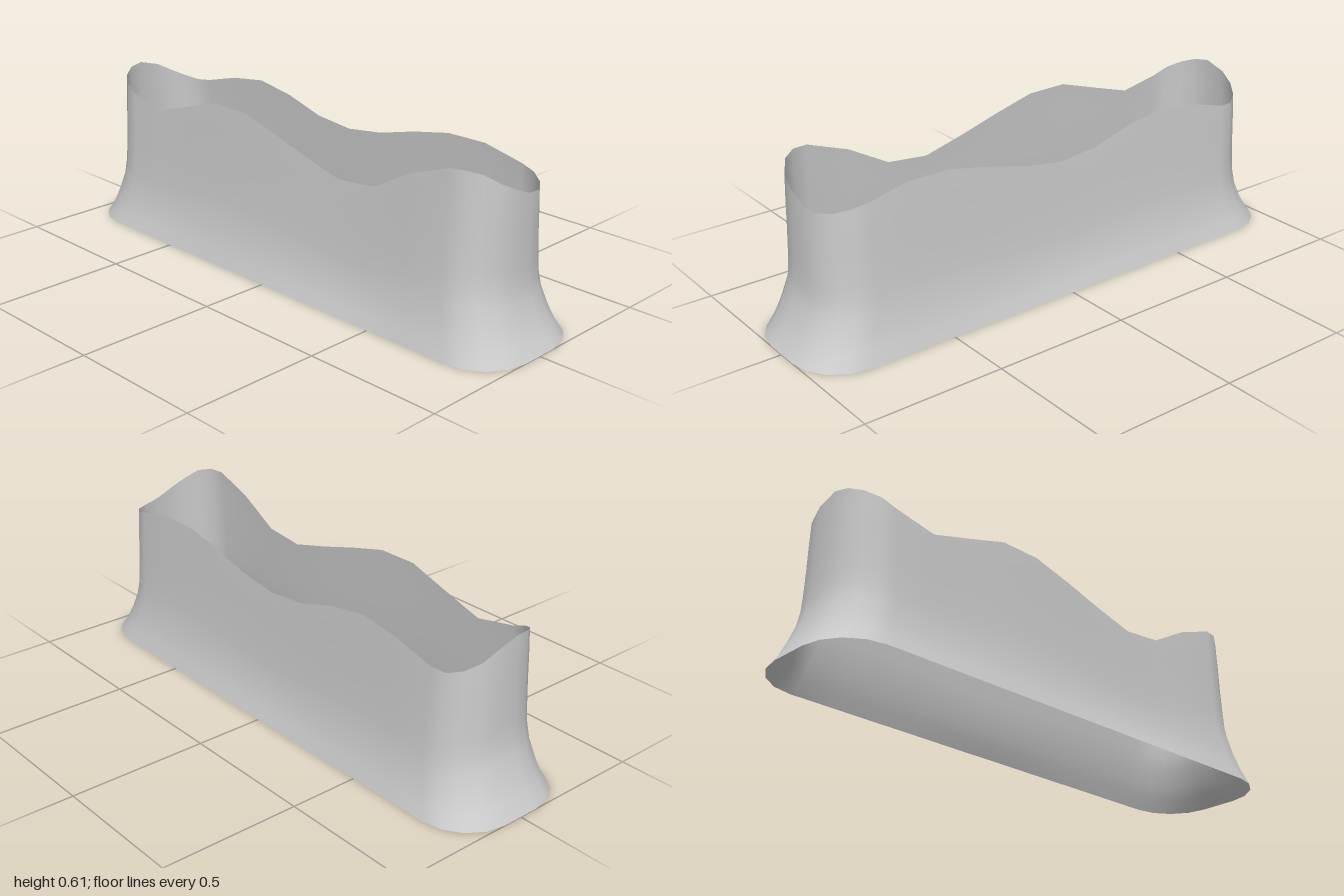
import * as THREE from 'three';

// Rim heights, counter-clockwise: left side, back end, right side, front end
const SIDE_L = [0.53, 0.562, 0.56, 0.53, 0.49, 0.47, 0.485, 0.53, 0.555, 0.535, 0.495];
const BACK = [0.49, 0.505, 0.53, 0.56, 0.571, 0.583, 0.576, 0.56, 0.54];
const SIDE_R = [0.515, 0.485, 0.53, 0.577, 0.575, 0.535, 0.49, 0.45, 0.465, 0.55, 0.605];
const FRONT = [0.608, 0.597, 0.565, 0.538, 0.52, 0.506, 0.5, 0.506, 0.518];
const RIM = [...SIDE_L, ...BACK, ...SIDE_R, ...FRONT];

// Flare profile: [fraction of height, half width, half length]
const PROFILE = [
  [0, 0.25, 1], [0.09, 0.233, 0.968], [0.18, 0.219, 0.946], [0.3, 0.207, 0.921],
  [0.4, 0.201, 0.911], [0.5, 0.197, 0.908], [0.67, 0.191, 0.906], [0.84, 0.187, 0.905], [1, 0.182, 0.903],
];

// Rounded-rectangle ring with the same point order as RIM
function ring(hw, hl) {
  const r = THREE.MathUtils.mapLinear(hw, 0.25, 0.182, 0.18, 0.142);
  const cx = hw - r, cz = hl - r, half = [];
  for (let i = 0; i <= 10; i++) half.push([hw, cz * (1 - i / 5)]);
  for (let k = 1; k <= 4; k++) {
    const a = k * Math.PI / 8;
    half.push([cx + r * Math.cos(a), -cz - r * Math.sin(a)]);
  }
  half.push([0, -hl]);
  for (let k = 4; k >= 1; k--) {
    const a = k * Math.PI / 8;
    half.push([-cx - r * Math.cos(a), -cz - r * Math.sin(a)]);
  }
  return [...half, ...half.map(([x, z]) => [-x, -z])];
}

export function createModel() {
  const group = new THREE.Group();
  group.name = 'flaredSleeve';

  // Loft the rings from the flared foot up to the wavy rim
  const positions = [], index = [], n = RIM.length;
  PROFILE.forEach(([t, hw, hl], j) => {
    ring(hw, hl).forEach(([x, z], i) => {
      positions.push(x, t * RIM[i], z);
      if (j === PROFILE.length - 1) return;
      const a = j * n + i, b = j * n + (i + 1) % n;
      index.push(a, b, b + n, a, b + n, a + n);
    });
  });
  const geometry = new THREE.BufferGeometry();
  geometry.setAttribute('position', new THREE.Float32BufferAttribute(positions, 3));
  geometry.setIndex(index);
  geometry.computeVertexNormals();

  const wall = new THREE.Mesh(geometry, new THREE.MeshStandardMaterial({ color: 0xcccccc, side: THREE.DoubleSide }));
  wall.name = 'wall';
  group.add(wall);
  return group;
}
